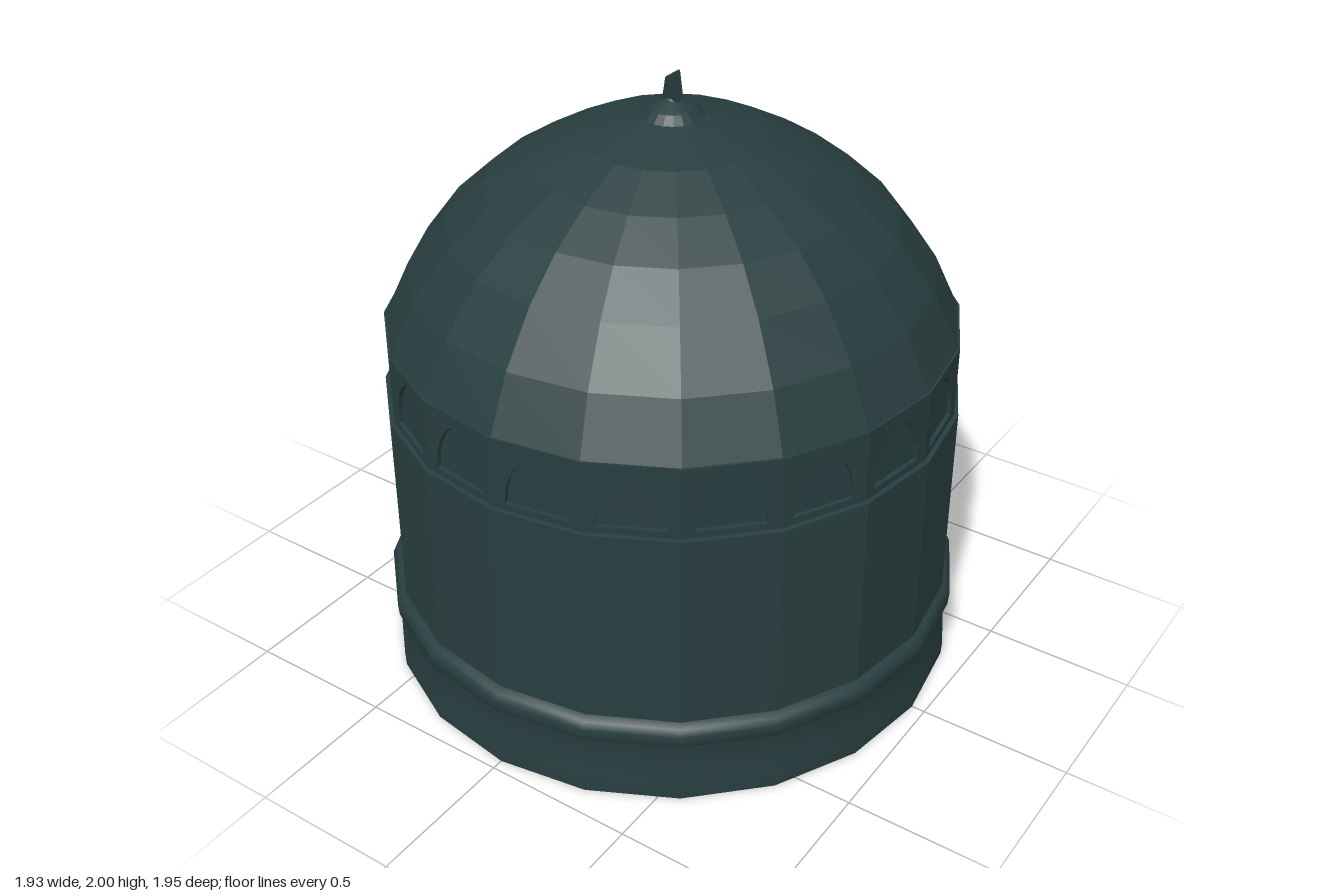
import * as THREE from 'three';

const SIDES = 20;
const STEP = (Math.PI * 2) / SIDES;

export function createModel() {
  const model = new THREE.Group();
  model.name = 'domedPavilion';
  const darkTeal = new THREE.MeshStandardMaterial({ color: 0x283e3f });
  darkTeal.name = 'dark teal';

  function add(name, geometry, parent = model) {
    const mesh = new THREE.Mesh(geometry, darkTeal);
    mesh.name = name;
    parent.add(mesh);
    return mesh;
  }

  // Twenty-sided ring from an upward profile of [radius, height]
  function turned(profile, faceted = true) {
    const points = profile.map(([r, y]) => new THREE.Vector2(r, y));
    let geometry = new THREE.LatheGeometry(points, SIDES);
    if (faceted) {
      geometry = geometry.toNonIndexed();
      geometry.computeVertexNormals();
    }
    return geometry;
  }

  // Plinth with a rounded bead on its upper edge
  add('plinthUnderside', turned([[0, 0], [0.955, 0]]));
  add('plinth', turned([
    [0.955, 0], [0.957, 0.05], [0.945, 0.1], [0.945, 0.2], [0.962, 0.215],
    [0.965, 0.255], [0.95, 0.275], [0.925, 0.285],
  ], false)).scale.z = 1.008;

  // Faceted drum
  add('drum', turned([[0.925, 0.28], [0.938, 0.29], [0.938, 0.96], [0.905, 0.965]]));

  // Recessed wall behind the arcade
  add('arcadeWall', turned([[0.905, 0.96], [0.9, 1.2]]));

  // One arched panel on every facet
  const arcade = new THREE.Group();
  arcade.name = 'arcade';
  model.add(arcade);
  const bottom = 0.96, top = 1.2, depth = 0.014;
  const apothem = 0.924 * Math.cos(STEP / 2);
  const half = 0.924 * Math.sin(STEP / 2);
  const panel = new THREE.Shape();
  panel.moveTo(-half, bottom);
  panel.lineTo(half, bottom);
  panel.lineTo(half, top);
  panel.lineTo(-half, top);
  panel.closePath();
  const arch = new THREE.Path();
  arch.moveTo(-0.105, 0.985);
  arch.quadraticCurveTo(-0.1, 1.12, 0, 1.178);
  arch.quadraticCurveTo(0.1, 1.12, 0.105, 0.985);
  arch.closePath();
  panel.holes.push(arch);
  const panelGeometry = new THREE.ExtrudeGeometry(panel, { depth, bevelEnabled: false, curveSegments: 5 });
  panelGeometry.translate(0, 0, apothem - depth);
  for (let i = 0; i < SIDES; i++) {
    add('archPanel', panelGeometry, arcade).rotation.y = (i + 0.5) * STEP;
  }

  // Faceted dome
  add('dome', turned([
    [0.9, 1.198], [0.917, 1.2], [0.835, 1.375], [0.715, 1.535],
    [0.59, 1.65], [0.45, 1.74], [0.3, 1.815], [0.1, 1.87], [0, 1.9],
  ]));

  // Small collar and a blade-like spike at the crown
  add('crownCollar', turned([[0.105, 1.865], [0.075, 1.895], [0.025, 1.92], [0, 1.945]]));
  const spike = new THREE.BoxGeometry(0.06, 0.09, 0.03, 1, 1, 1);
  const p = spike.attributes.position;
  for (let i = 0; i < p.count; i++) {
    if (p.getY(i) > 0) {
      p.setX(i, p.getX(i) * 0.1);
      p.setZ(i, p.getZ(i) * 2.3);
    }
  }
  spike.computeVertexNormals();
  add('crownSpike', spike).position.set(0, 1.955, 0);

  return model;
}
